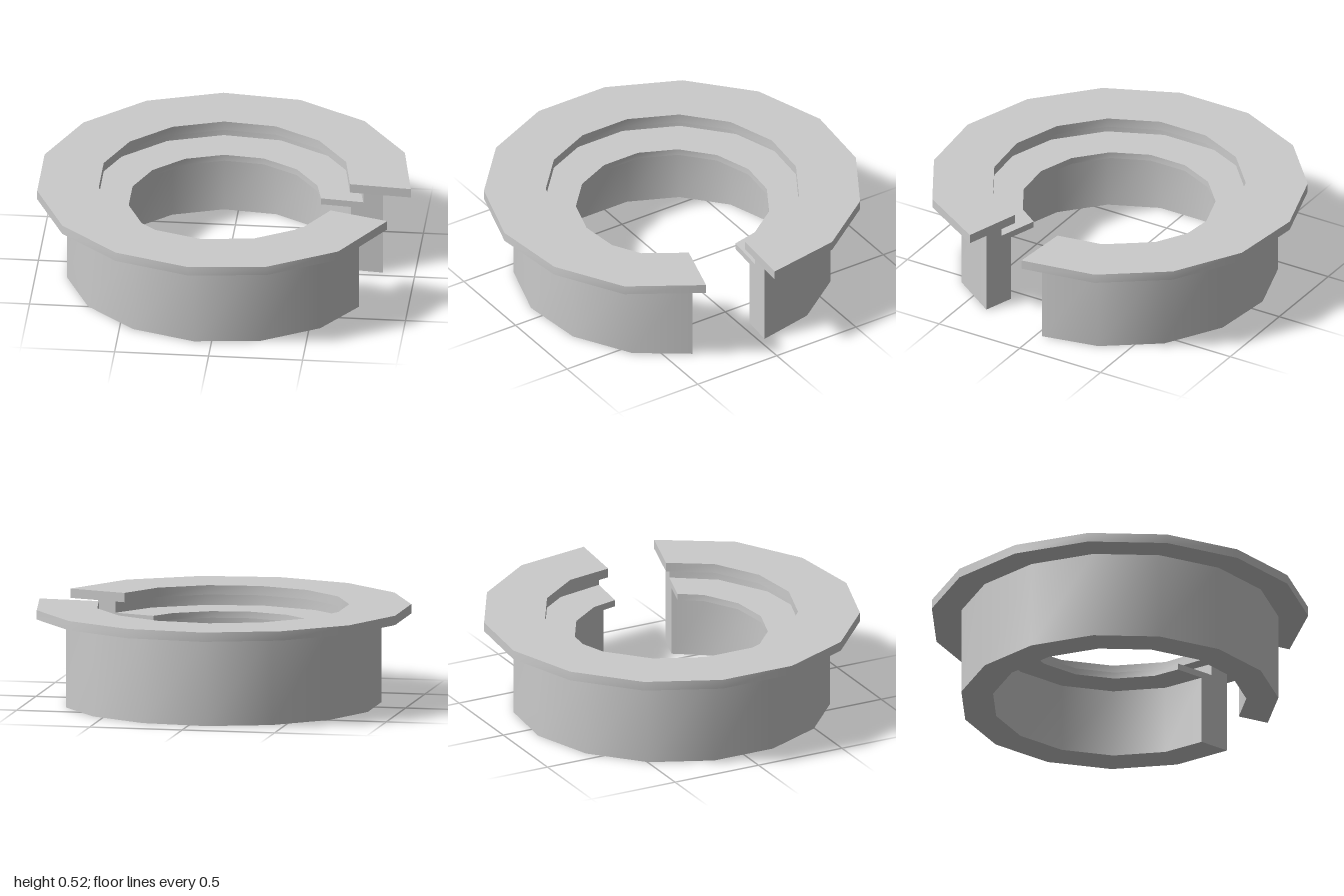
import * as THREE from 'three';
import { toCreasedNormals } from 'three/addons/utils/BufferGeometryUtils.js';

const STEP = THREE.MathUtils.degToRad(24); // fifteen-sided ring
const CENTRE_X = -0.006;

// Sweeps a counter-clockwise [radius, height] profile round the ring.
// startAt and endAt give the [x, z] of a radius on the two slanted cuts.
function sweepRing(profile, startAt, endAt) {
  const sections = [profile.map(([r, y]) => [startAt(r)[0], y, startAt(r)[1]])];
  for (let k = 1; k <= 13; k++) {
    const a = -k * STEP;
    sections.push(profile.map(([r, y]) => [CENTRE_X + r * Math.cos(a), y, r * Math.sin(a)]));
  }
  sections.push(profile.map(([r, y]) => [endAt(r)[0], y, endAt(r)[1]]));

  const n = profile.length;
  const last = sections.length - 1;
  const index = [];
  for (let s = 0; s < last; s++) {
    for (let i = 0; i < n; i++) {
      const j = (i + 1) % n;
      const a = s * n + i, b = (s + 1) * n + i, c = (s + 1) * n + j, d = s * n + j;
      index.push(a, b, c, a, c, d);
    }
  }
  // flat end faces at the gap
  const cap = THREE.ShapeUtils.triangulateShape(profile.map(([r, y]) => new THREE.Vector2(r, y)), []);
  for (const [a, b, c] of cap) {
    index.push(a, b, c, last * n + a, last * n + c, last * n + b);
  }
  const geometry = new THREE.BufferGeometry();
  geometry.setAttribute('position', new THREE.Float32BufferAttribute(sections.flat(2), 3));
  geometry.setIndex(index);
  return toCreasedNormals(geometry, THREE.MathUtils.degToRad(35));
}

// Point on a straight cut: x grows with the radius, z follows the slope of the cut
const cut = (r0, x0, z0, xRate, slope) => (r) => {
  const dx = (r - r0) * xRate;
  return [x0 + dx, z0 + dx * slope];
};

export function createModel() {
  const group = new THREE.Group();
  const material = new THREE.MeshStandardMaterial({ color: 0xcccccc });
  const add = (name, geometry) => {
    const mesh = new THREE.Mesh(geometry, material);
    mesh.name = name;
    group.add(mesh);
  };

  // Wall with an inward ledge and a groove under the flange
  const wallProfile = [
    [0.845, 0], [0.845, 0.475], [0.74, 0.475], [0.74, 0.41],
    [0.515, 0.41], [0.515, 0.375], [0.675, 0.375], [0.675, 0],
  ];
  add('wallAndLedge', sweepRing(
    wallProfile,
    cut(0.845, 0.83, -0.033, 1.01, 0.1),
    cut(0.845, 0.74, 0.365, 0.97, 0.31),
  ));

  // Wide flat flange on top
  const flangeProfile = [[1.003, 0.475], [1.003, 0.525], [0.675, 0.525], [0.675, 0.475]];
  add('topFlange', sweepRing(
    flangeProfile,
    cut(1.003, 0.981, 0.002, 0.995, 0.08),
    cut(1.003, 0.891, 0.376, 0.945, 0.3),
  ));

  return group;
}
